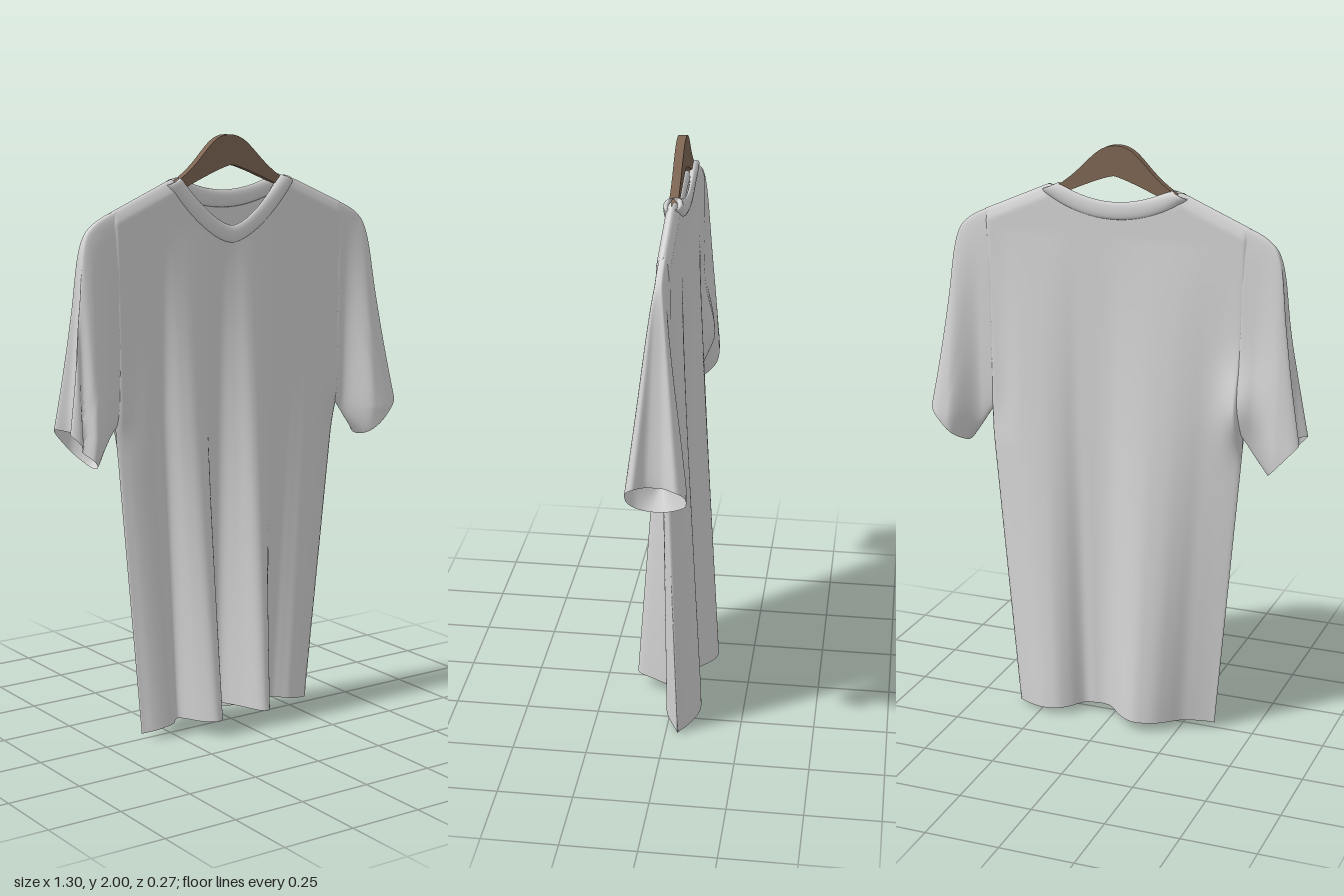
import * as THREE from 'three';
import { mergeVertices } from 'three/addons/utils/BufferGeometryUtils.js';

const { lerp, smoothstep, clamp } = THREE.MathUtils;
const signedPow = (v, p) => Math.sign(v) * Math.pow(Math.abs(v), p);
const bump = (v, width) => Math.exp(-((v / width) ** 2));

// Smooth surface from a rule: point(i / cols, j / rows) -> [x, y, z]
function surface(cols, rows, point) {
  const positions = [], index = [];
  for (let j = 0; j <= rows; j++) {
    for (let i = 0; i <= cols; i++) positions.push(...point(i / cols, j / rows));
  }
  for (let j = 0; j < rows; j++) {
    for (let i = 0; i < cols; i++) {
      const a = j * (cols + 1) + i, b = a + cols + 1;
      index.push(a, a + 1, b, a + 1, b + 1, b);
    }
  }
  let geometry = new THREE.BufferGeometry();
  geometry.setAttribute('position', new THREE.Float32BufferAttribute(positions, 3));
  geometry.setIndex(index);
  geometry = mergeVertices(geometry, 1e-4);
  geometry.computeVertexNormals();
  return geometry;
}

const spline = (points) => new THREE.SplineCurve(points.map(([x, y]) => new THREE.Vector2(x, y)));

// Depth of the hanging folds at the hem, evenly spaced from right to left side
const folds = (depths) => spline(depths.map((z, i) => [i, z]));
const frontFolds = folds([0, 0.02, 0.03, 0.03, 0.005, 0.085, 0.13, 0.11, 0, -0.015, 0.05,
  0.127, 0.13, 0.065, 0, -0.01, 0, 0.01, 0, -0.02, -0.04]);
const backFolds = folds([0, -0.01, -0.025, -0.045, -0.08, -0.11, -0.125, -0.13, -0.115, -0.085, -0.045,
  -0.03, -0.03, -0.035, -0.075, -0.1, -0.105, -0.1, -0.085, -0.065, -0.04]);

const NECK = 0.225;
const FLAT = 0.022;      // half thickness of the flat cloth
const CENTRE = -0.01;    // depth at which the cloth hangs from the hanger

// Upper edge of the front or back panel
function topEdge(x, front) {
  const a = Math.abs(x);
  if (a > NECK) return 1.863 - (a - NECK) * 0.43;
  const k = a / NECK;
  return front ? 1.685 + 0.178 * Math.pow(k, 1.6) : 1.8 + 0.063 * k * k;
}

// Gathered cloth behind the right underarm
const underarmBulge = (x, y) => -0.045 * bump(x + 0.45, 0.07) * bump(y - 1.17, 0.13);

function bodyPoint(s, t) {
  const front = s <= 0.5;
  const u = front ? s * 4 - 1 : 3 - s * 4;
  const hem = lerp(0.02, 0.002, (u + 1) / 2) + (front ? 0.05 : 0.025) * (1 - u * u);
  const top = topEdge(u * 0.46, front);
  const y = lerp(hem, top, 1 - (1 - t) * (1 - t));
  const hemWidth = u < 0 ? 0.362 : 0.347;
  const halfWidth = y < 1.08 ? lerp(hemWidth, 0.45, y / 1.08) : lerp(0.45, 0.46, (y - 1.08) / 0.6);
  const x = u * halfWidth;

  // Thin flat cloth at the chest, closing at the shoulders and at the side seams
  const shoulder = Math.sqrt(clamp((top - y) / 0.04, 0, 1));
  const close = lerp(1, shoulder, smoothstep(Math.abs(x), 0.17, 0.25));
  const armhole = 1 - 0.5 * smoothstep(Math.abs(u), 0.96, 1);
  const seam = lerp(Math.sqrt(Math.max(0, 1 - Math.pow(u, 8))), armhole, smoothstep(y, 1.0, 1.15));
  const flat = CENTRE + (front ? 1 : -1) * FLAT * close * seam;

  // Folds grow towards the hem and fade out beside the sleeves
  const besideSleeve = smoothstep(y, 0.95, 1.15) * smoothstep(Math.abs(u), 0.72, 0.94);
  const grow = clamp((1.7 - y) / 1.64, 0, 1) * (1 - besideSleeve);
  const fold = (front ? frontFolds : backFolds).getPoint((u + 1) / 2).y;
  const bulge = front ? 0 : underarmBulge(x, y) * seam;
  return [x, y, flat * (1 - grow) + fold * grow + bulge];
}

// Sleeve lofted between an upper (outer) and a lower (underarm) path
const upperPath = spline([[0.42, 1.777], [0.52, 1.733], [0.57, 1.67], [0.597, 1.48], [0.627, 1.28], [0.66, 1.09]]);
const lowerPath = spline([[0.42, 1.1], [0.455, 1.06], [0.49, 1.01], [0.535, 0.95]]);

function sleeveGeometry(side, frontDepth, backDepth, groove) {
  return surface(96, 48, (s, t) => {
    const a = s * Math.PI * 2;
    const high = upperPath.getPoint(t), low = lowerPath.getPoint(t);
    const cos = Math.cos(a), sin = Math.sin(a);
    const front = sin > 0;
    const k = 0.5 + 0.5 * signedPow(cos, cos > 0 ? 0.65 : lerp(0.65, 1, t));

    // The outer edge is folded in between a front and a back lobe
    const pinch = 0.4 * t * t * Math.pow(Math.max(0, cos), 12);
    const x = lerp(low.x, high.x, k * (1 - pinch));
    const y = lerp(low.y, high.y, k * (1 - pinch * 0.3));

    // Flat at the shoulder and the seam, opening downwards and outwards
    const open = clamp((1.7 - y) / 0.65, 0, 1)
      * (front ? smoothstep(x, 0.46, 0.55) : smoothstep(x, 0.48, 0.58));
    const crease = front ? 1 - groove * open * bump(x - 0.59, 0.015) : 1;
    const depth = lerp(FLAT, front ? frontDepth : backDepth, open) * crease;
    const start = lerp(0.5, 1, smoothstep(x, 0.42, 0.44));
    const bulge = front ? 0 : -sin * underarmBulge(side * x, y);
    const round = signedPow(sin, lerp(0.5, cos > 0 ? 0.6 : 0.9, t));
    return [side * x, y, CENTRE * (1 - open) + round * depth * start + bulge];
  });
}

// Flat neckband following both neck edges
function collarPoint(s, t) {
  const a = s * Math.PI * 2, b = t * Math.PI * 2;
  const cos = Math.cos(a), sin = Math.sin(a);
  const outward = new THREE.Vector2(cos, -Math.abs(sin) - 0.4).normalize();
  const width = 0.029 * Math.cos(b);
  const thick = 0.009 + 0.015 * Math.pow(cos, 4);
  return [
    NECK * cos + outward.x * width,
    topEdge(NECK * cos, sin > 0) - 0.009 + outward.y * width,
    CENTRE + 0.021 * signedPow(sin, 0.7) + thick * Math.sin(b),
  ];
}

// Flat wooden hanger with a rounded peak and arms running inside the shoulders
function hangerGeometry() {
  const shape = new THREE.Shape();
  shape.moveTo(-0.42, 1.72);
  shape.lineTo(-0.2, 1.862);
  shape.bezierCurveTo(-0.1, 1.925, -0.085, 2, -0.01, 2);
  shape.bezierCurveTo(0.07, 2, 0.09, 1.925, 0.2, 1.857);
  shape.lineTo(0.42, 1.72);
  shape.lineTo(0.41, 1.7);
  shape.lineTo(0.2, 1.825);
  shape.quadraticCurveTo(0.04, 1.897, 0, 1.902);
  shape.quadraticCurveTo(-0.04, 1.897, -0.2, 1.825);
  shape.lineTo(-0.41, 1.7);
  shape.closePath();
  return new THREE.ExtrudeGeometry(shape, { depth: 0.028, bevelEnabled: false, curveSegments: 12 })
    .translate(0, 0, CENTRE - 0.014);
}

export function createModel() {
  const cloth = new THREE.MeshStandardMaterial({ color: 0xd4d4d4, side: THREE.DoubleSide });
  cloth.name = 'grey cloth';
  const wood = new THREE.MeshStandardMaterial({ color: 0x7e6653 });
  wood.name = 'brown wood';

  const group = new THREE.Group();
  group.name = 'shirtOnHanger';
  const add = (name, geometry, material) => {
    const mesh = new THREE.Mesh(geometry, material);
    mesh.name = name;
    group.add(mesh);
  };

  add('shirtBody', surface(240, 70, bodyPoint), cloth);
  add('leftSleeve', sleeveGeometry(1, 0.09, 0.1, 0), cloth);
  add('rightSleeve', sleeveGeometry(-1, 0.075, 0.072, 0.65), cloth);
  add('collar', surface(120, 14, collarPoint), cloth);
  add('hanger', hangerGeometry(), wood);
  return group;
}
